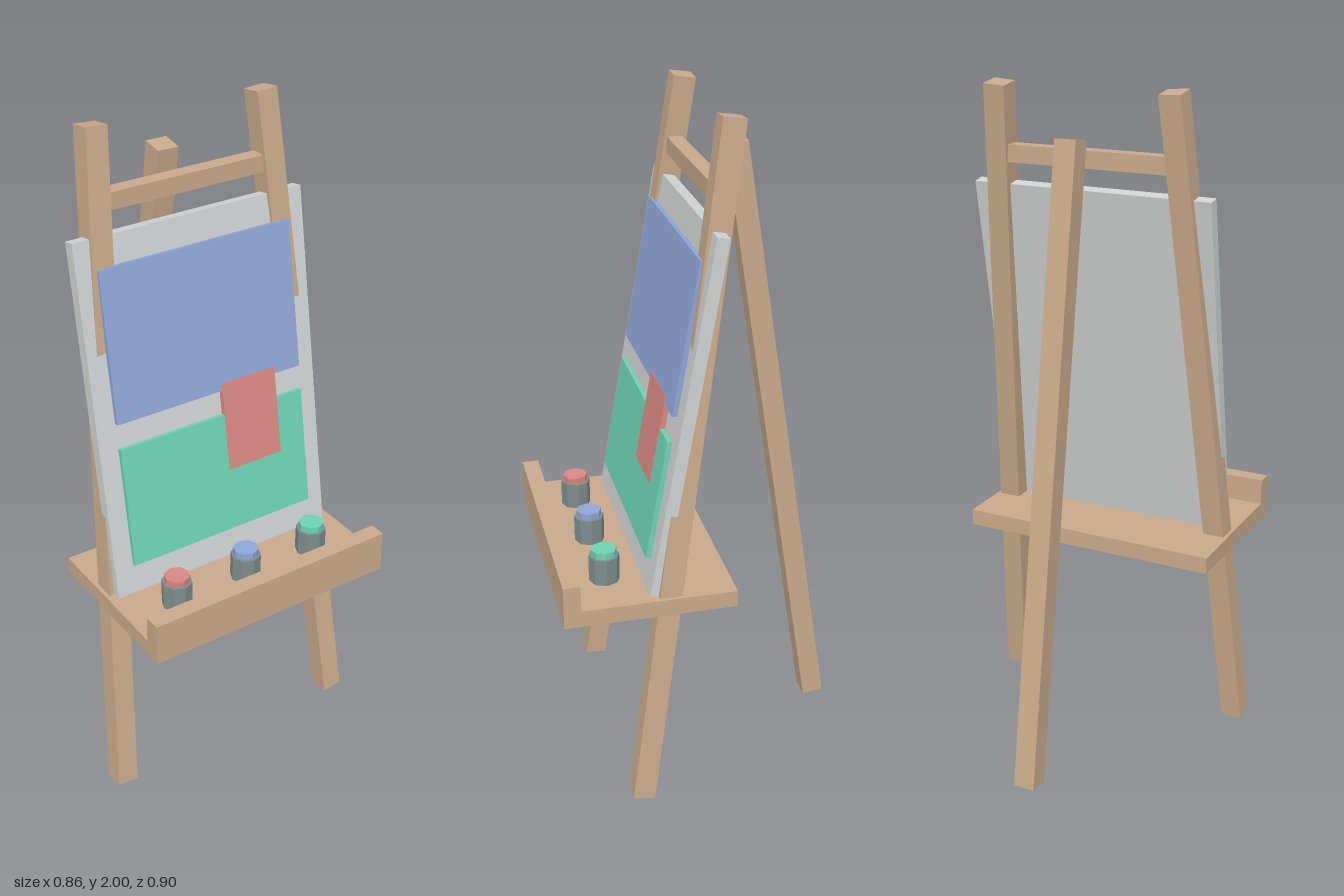
import * as THREE from 'three';

const mat = (name, color) => {
  const m = new THREE.MeshStandardMaterial({ color });
  m.name = name;
  return m;
};

export function createModel() {
  const wood = mat('wood', 0xc8a98a);
  const canvasGrey = mat('canvasGrey', 0xcfd2d2);
  const blue = mat('bluePaint', 0x8fa6d6);
  const green = mat('greenPaint', 0x6dd3b3);
  const red = mat('redPaint', 0xd98883);
  const pot = mat('potGrey', 0x7d8c8c);

  const model = new THREE.Group();
  model.name = 'easel';

  const add = (parent, name, geometry, material, x, y, z) => {
    const mesh = new THREE.Mesh(geometry, material);
    mesh.name = name;
    mesh.position.set(x, y, z);
    parent.add(mesh);
    return mesh;
  };
  const box = (parent, name, material, [w, h, d], [x, y, z]) =>
    add(parent, name, new THREE.BoxGeometry(w, h, d), material, x, y, z);

  // Square timber running between two end points
  const beam = (name, from, to, size) => {
    const a = new THREE.Vector3(...from);
    const b = new THREE.Vector3(...to);
    const dir = b.clone().sub(a);
    const mid = a.clone().add(b).multiplyScalar(0.5);
    const mesh = box(model, name, wood, [size, dir.length(), size], mid.toArray());
    mesh.quaternion.setFromUnitVectors(new THREE.Vector3(0, 1, 0), dir.normalize());
  };

  // Legs and top crossbar
  for (const [side, s] of [['left', 1], ['right', -1]]) {
    beam(side + 'FrontLeg', [s * 0.396, 0.007, 0.237], [s * 0.266, 1.993, -0.051], 0.065);
  }
  beam('backLeg', [0, 0.005, -0.419], [0, 1.862, -0.132], 0.065);
  box(model, 'crossbar', wood, [0.52, 0.05, 0.045], [0, 1.795, -0.022]);

  // Tray with a raised front lip
  box(model, 'tray', wood, [0.794, 0.05, 0.5], [0, 0.645, 0.2]);
  box(model, 'trayLip', wood, [0.794, 0.13, 0.05], [0, 0.685, 0.425]);

  // Leaning canvas; its local origin is the top front edge
  const painting = new THREE.Group();
  painting.name = 'painting';
  painting.position.set(0, 1.71, 0.012);
  painting.rotation.x = -0.178;
  model.add(painting);
  box(painting, 'canvas', canvasGrey, [0.738, 1.06, 0.036], [0, -0.53, -0.018]);

  // Painted blocks: name, material, x centre, width, top, bottom, front
  for (const [name, m, x, w, top, bottom, front] of [
    ['bluePatch', blue, 0, 0.62, 0.084, 0.526, 0.015],
    ['greenPatch', green, 0, 0.62, 0.602, 0.965, 0.015],
    ['redPatch', red, 0.129, 0.184, 0.504, 0.775, 0.0162],
  ]) {
    box(painting, name, m, [w, bottom - top, front], [x, -(top + bottom) / 2, front / 2]);
  }

  // Paint pots on the tray
  [['red', red], ['blue', blue], ['green', green]].forEach(([name, m], i) => {
    const x = (i - 1) * 0.238;
    add(model, name + 'Pot', new THREE.CylinderGeometry(0.045, 0.045, 0.08, 8).toNonIndexed(), pot, x, 0.71, 0.305);
    add(model, name + 'PotPaint', new THREE.CylinderGeometry(0.037, 0.037, 0.02, 8).toNonIndexed(), m, x, 0.76, 0.305);
  });
  for (const m of [pot, red, blue, green]) m.flatShading = true;

  return model;
}
